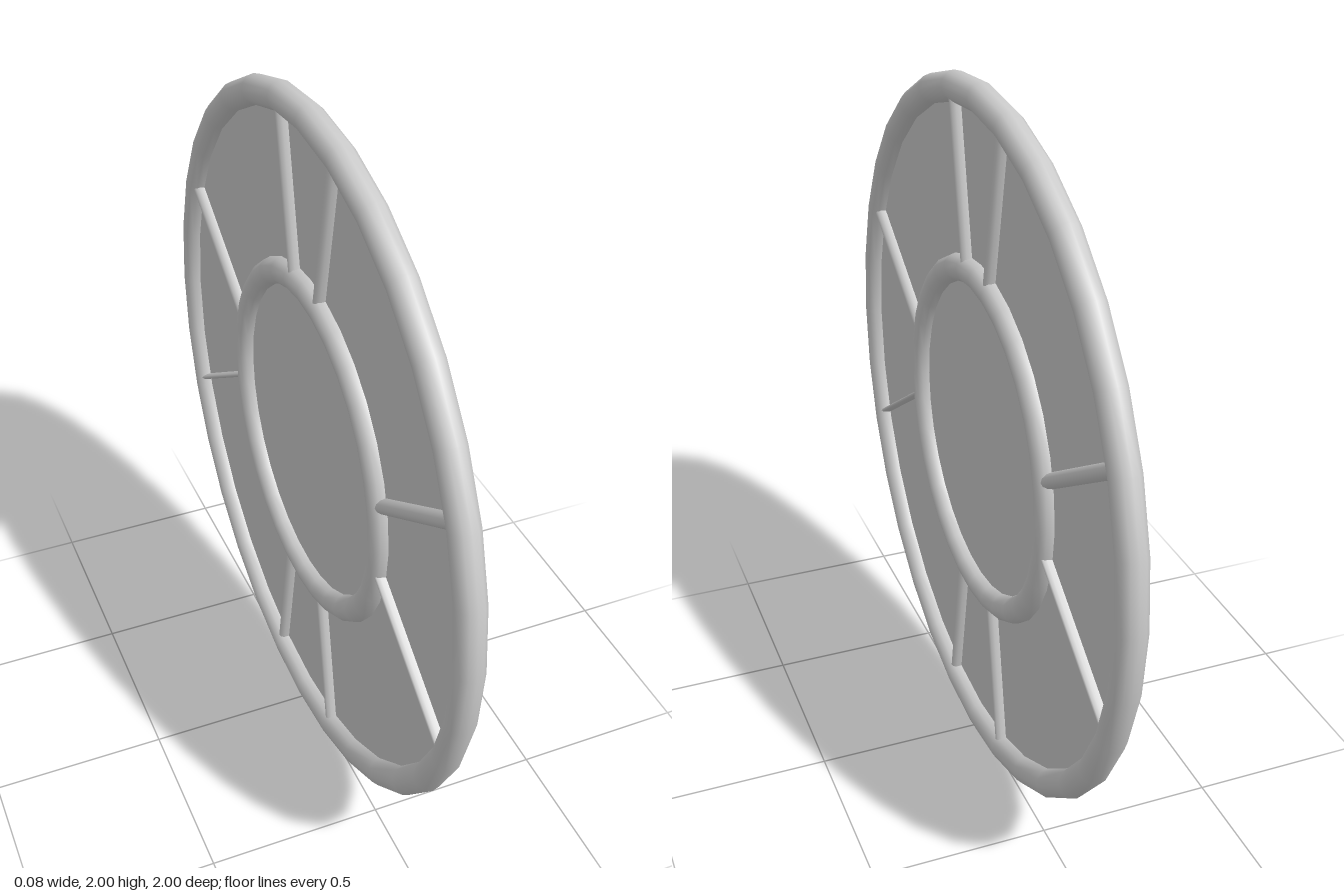
import * as THREE from 'three';

const grey = new THREE.MeshStandardMaterial({ color: 0xcccccc });
const greyThin = new THREE.MeshStandardMaterial({ color: 0xcccccc, side: THREE.DoubleSide });

// Ring standing in the yz plane, centred at y = 1
function ring(name, radius, tube, segments) {
  const geo = new THREE.TorusGeometry(radius, tube, 12, segments);
  geo.rotateY(Math.PI / 2);
  const mesh = new THREE.Mesh(geo, grey);
  mesh.name = name;
  mesh.position.y = 1;
  return mesh;
}

// Oval bar between two [z, y] points; halfWidth is measured in the pane's plane
function spoke(name, [z0, y0], [z1, y1], halfWidth, halfDepth) {
  const a = new THREE.Vector3(0, y0, z0);
  const b = new THREE.Vector3(0, y1, z1);
  const geo = new THREE.CylinderGeometry(1, 1, a.distanceTo(b), 12);
  geo.scale(halfDepth, 1, halfWidth);
  const mesh = new THREE.Mesh(geo, grey);
  mesh.name = name;
  mesh.position.copy(a).lerp(b, 0.5);
  mesh.rotation.x = Math.atan2(z1 - z0, y1 - y0);
  return mesh;
}

export function createModel() {
  const group = new THREE.Group();
  group.name = 'roundWindow';

  // Frame rings
  group.add(ring('outerRing', 0.96, 0.04, 32));
  group.add(ring('innerRing', 0.48, 0.038, 32));

  // Flat pane through the middle
  const pane = new THREE.Mesh(new THREE.CircleGeometry(0.95, 32), greyThin);
  pane.name = 'pane';
  pane.rotation.y = Math.PI / 2;
  pane.position.y = 1;
  group.add(pane);

  // Four spokes on each side, mirrored front to back
  const spokes = [
    ['topSpoke', [0.078, 1.47], [0.167, 1.925], 0.018],
    ['upperSpoke', [0.45, 1.11], [0.862, 1.37], 0.021],
    ['lowerSpoke', [0.47, 0.93], [0.872, 0.665], 0.009],
    ['bottomSpoke', [0.113, 0.53], [0.192, 0.095], 0.016],
  ];
  for (const side of [1, -1]) {
    for (const [name, from, to, halfWidth] of spokes) {
      const suffix = side > 0 ? 'Front' : 'Back';
      group.add(spoke(name + suffix, [from[0] * side, from[1]], [to[0] * side, to[1]], halfWidth, 0.027));
    }
  }
  return group;
}
